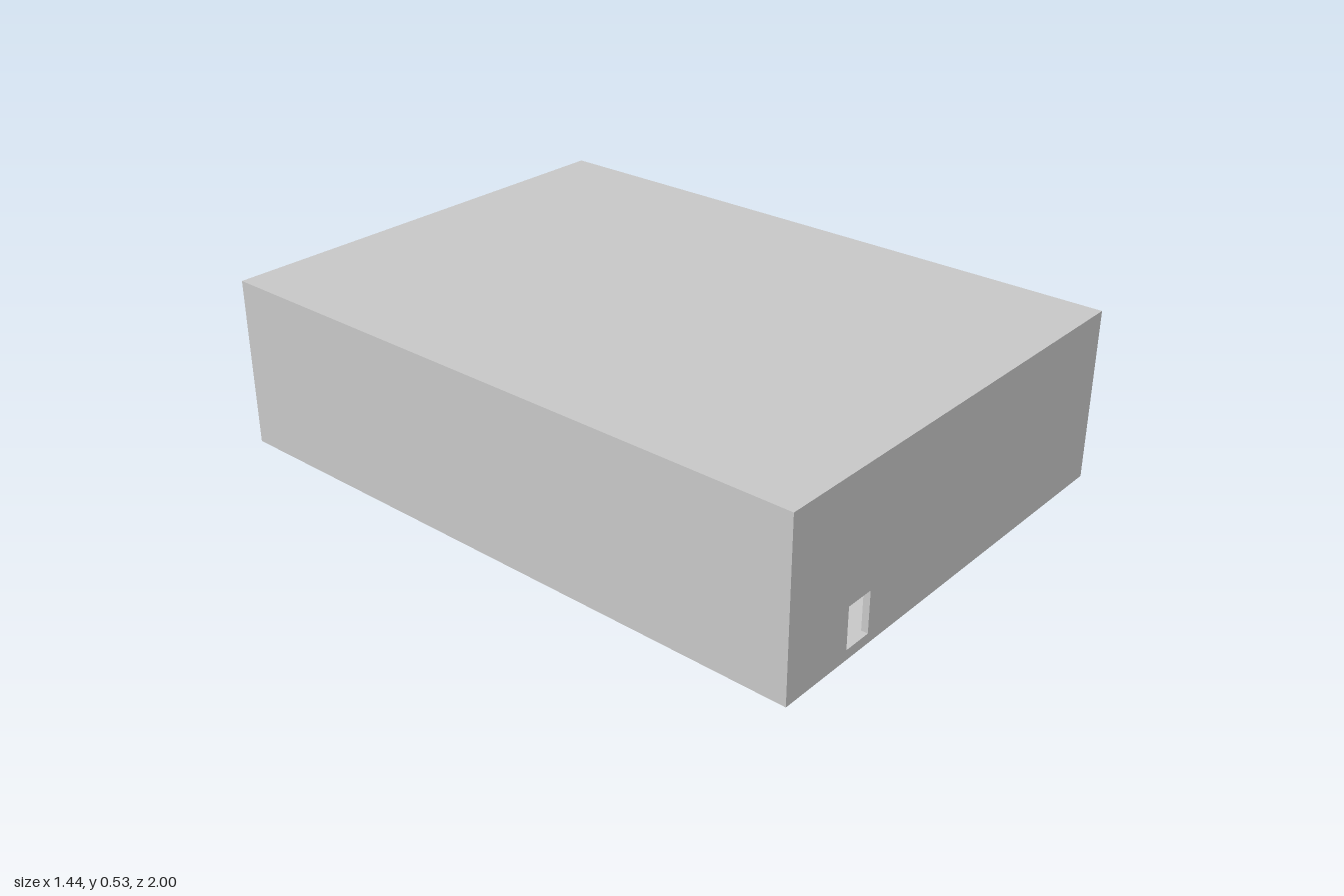
import * as THREE from 'three';

const W = 1.44, H = 0.53, L = 2, T = 0.02;

export function createModel() {
  const building = new THREE.Group();
  building.name = 'building';
  const mat = new THREE.MeshStandardMaterial({ color: 0xcccccc, flatShading: true });

  function add(name, geo, pos = [0, 0, 0], rot = [0, 0, 0]) {
    const mesh = new THREE.Mesh(geo, mat);
    mesh.name = name;
    mesh.position.set(...pos);
    mesh.rotation.set(...rot);
    building.add(mesh);
    return mesh;
  }

  function polygon(points, Type = THREE.Shape) {
    const p = new Type(points.map(([x, y]) => new THREE.Vector2(x, y)));
    p.closePath();
    return p;
  }
  const rect = (u0, u1, v0, v1, Type) => polygon([[u0, v0], [u1, v0], [u1, v1], [u0, v1]], Type);

  // slab with rectangular holes [u0, u1, v0, v1], outer face at z = 0
  function slab(u0, u1, v0, v1, depth, holes = []) {
    const shape = rect(u0, u1, v0, v1);
    for (const h of holes) shape.holes.push(rect(...h, THREE.Path));
    return new THREE.ExtrudeGeometry(shape, { depth, bevelEnabled: false }).translate(0, 0, -depth);
  }

  // shell panel whose inner outline is mitred to meet its neighbours
  function panel(w, h, holes = []) {
    const geo = slab(-w / 2, w / 2, -h / 2, h / 2, T, holes);
    const p = geo.attributes.position;
    for (let i = 0; i < p.count; i++) {
      if (p.getZ(i) > -T / 2) continue;
      const x = p.getX(i), y = p.getY(i);
      if (Math.abs(x) > w / 2 - 1e-4) p.setX(i, x - Math.sign(x) * T);
      if (Math.abs(y) > h / 2 - 1e-4) p.setY(i, y - Math.sign(y) * T);
    }
    geo.computeVertexNormals();
    return geo;
  }

  // openings of the entrance side, given as z0, z1, y0, y1
  const openings = [[-0.155, 0.165, 0.03, 0.27]];
  const columns = [[0.84, 0.935], [0.57, 0.665], [0.25, 0.35], [-0.345, -0.245], [-0.66, -0.56], [-0.975, -0.88]];
  columns.forEach(([z0, z1], i) => {
    openings.push([z0, z1, 0.095, 0.205]);
    if (i !== 2 && i !== 3) openings.push([z0, z1, 0.345, 0.455]);
  });
  const sideHoles = openings.map(([z0, z1, y0, y1]) => [-z1, -z0, y0 - H / 2, y1 - H / 2]);
  const doorHole = [-0.477, -0.385, 0.03 - H / 2, 0.157 - H / 2];

  // outer shell
  const q = Math.PI / 2;
  add('frontWall', panel(W, H, [doorHole]), [0, H / 2, L / 2]);
  add('backWall', panel(W, H), [0, H / 2, -L / 2], [0, 2 * q, 0]);
  add('entranceWall', panel(L, H, sideHoles), [W / 2, H / 2, 0], [0, q, 0]);
  add('blankSideWall', panel(L, H), [-W / 2, H / 2, 0], [0, -q, 0]);
  add('roof', panel(W, L), [0, H, 0], [-q, 0, 0]);
  add('base', panel(W, L), [0, 0, 0], [q, 0, 0]);

  // floors, the upper one open above the stairs
  const ix = W / 2 - T, iz = L / 2 - T;
  add('groundFloor', slab(-ix, ix, -iz, iz, 0.01), [0, 0.03, 0], [-q, 0, 0]);
  add('upperFloor', slab(-ix, ix, -iz, iz, 0.015, [[-0.5, -0.3, -0.55, 0.55]]), [0, 0.285, 0], [-q, 0, 0]);

  // upper room partition with a doorway at each end
  add('upperPartition', slab(-iz, iz, 0.285, H - T, 0.02,
    [[-0.97, -0.9, 0.29, 0.407], [0.89, 0.97, 0.29, 0.407]]), [0.3, 0, 0], [0, q, 0]);

  // central flight between two walls, then a landing and two side flights
  const extrude = (pts, depth) => new THREE.ExtrudeGeometry(polygon(pts), { depth, bevelEnabled: false });
  add('centralFlight', extrude([[-0.3, 0.03], [0, 0.03], [-0.3, 0.1]], 0.19), [0, 0, -0.095]);
  add('landing', new THREE.BoxGeometry(0.2, 0.02, 0.2), [-0.4, 0.09, 0]);
  for (const s of [1, -1]) {
    add('stairWall', new THREE.BoxGeometry(0.3, 0.24, 0.01), [-0.15, 0.15, s * 0.1]);
    const profile = [[0.1, 0.08], [0.55, 0.26], [0.55, 0.28], [0.1, 0.1]];
    add('sideFlight', extrude(profile.map(([z, y]) => [-s * z, y]), 0.2), [-0.5, 0, 0], [0, q, 0]);
  }
  return building;
}
